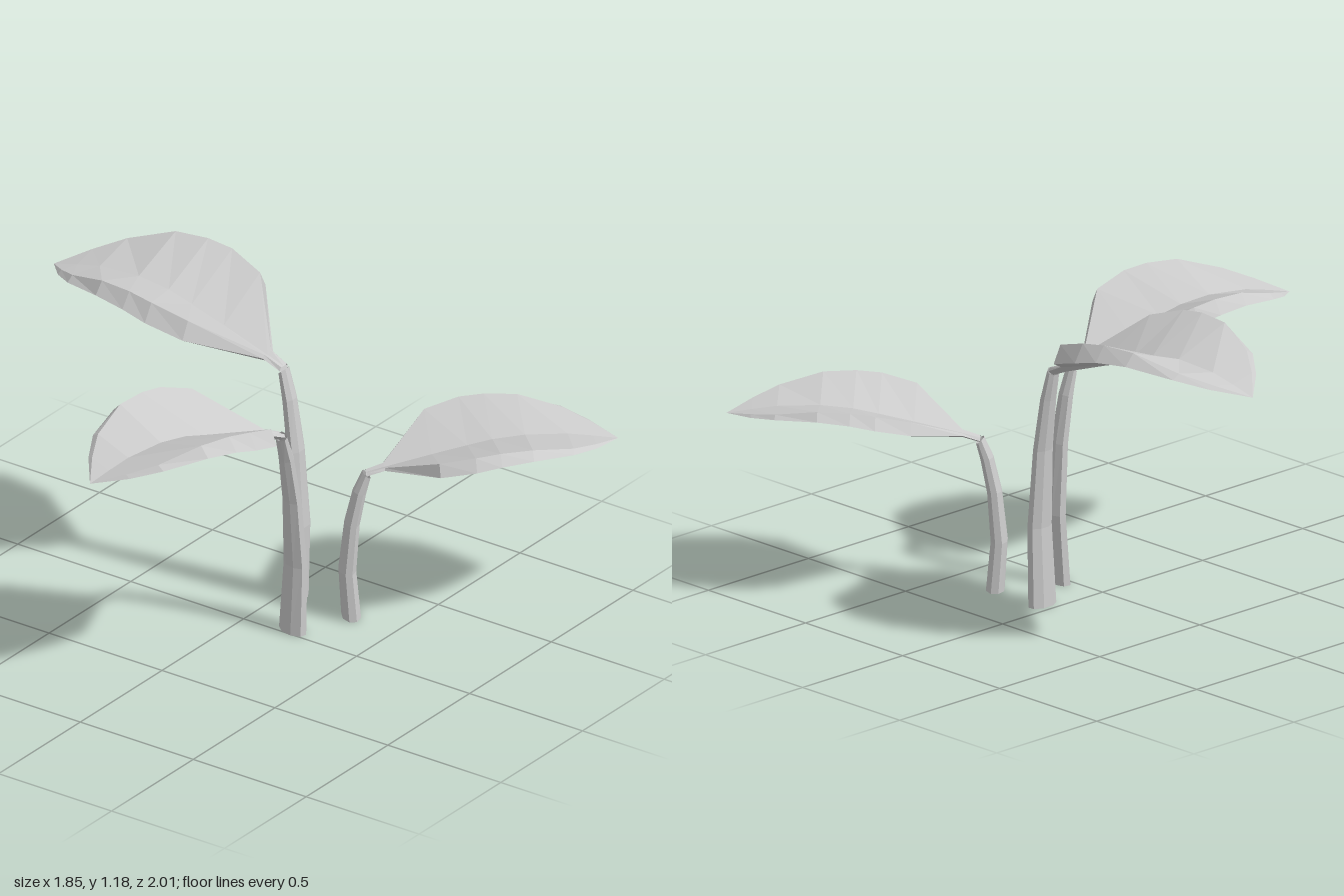
import * as THREE from 'three';

const UP = new THREE.Vector3(0, 1, 0);
const material = new THREE.MeshStandardMaterial({ color: 0xcccccc, flatShading: true, side: THREE.DoubleSide });

// Skins a list of equal-sized point rings into one faceted surface
function loft(rings, name) {
  const n = rings[0].length;
  const index = [];
  for (let i = 0; i < rings.length - 1; i++) {
    for (let j = 0; j < n; j++) {
      const k = (j + 1) % n;
      const a = i * n + j, b = i * n + k, c = a + n, d = b + n;
      index.push(a, b, d, a, d, c);
    }
  }
  const geometry = new THREE.BufferGeometry().setFromPoints(rings.flat());
  geometry.setIndex(index);
  geometry.computeVertexNormals();
  const mesh = new THREE.Mesh(geometry, material);
  mesh.name = name;
  return mesh;
}

// Blade stations: distance, midrib height, crease half-width and height,
// rim half-width and height, midrib thickness
const BLADE = [
  [0.00, 0.015, 0.018, 0.018, 0.026, 0.005, 0.030],
  [0.07, 0.040, 0.022, 0.050, 0.034, 0.040, 0.025],
  [0.26, 0.105, 0.230, 0.220, 0.265, 0.155, 0.022],
  [0.40, 0.150, 0.258, 0.265, 0.300, 0.200, 0.022],
  [0.50, 0.180, 0.252, 0.280, 0.296, 0.225, 0.022],
  [0.63, 0.197, 0.235, 0.278, 0.275, 0.235, 0.022],
  [0.80, 0.188, 0.175, 0.226, 0.205, 0.208, 0.020],
  [0.90, 0.166, 0.098, 0.186, 0.120, 0.175, 0.014],
  [1.00, 0.140, 0.000, 0.140, 0.000, 0.140, 0.000],
];

// Stem stations: height fraction, outward drift, half-width, half-depth, lean
const STEM = [
  [0.00, 0.000, 0.058, 0.033, 0.0],
  [0.33, -0.014, 0.050, 0.030, 0.0],
  [0.66, 0.003, 0.040, 0.026, 0.1],
  [0.88, 0.030, 0.032, 0.023, 0.25],
  [1.00, 0.055, 0.026, 0.018, 0.7],
];
const SIDES = 8;

// One stem with its leaf blade, growing from base (x, z) toward tip (x, z)
function sprout(name, [bx, bz], [tx, tz], height, widthScale, riseScale) {
  const out = new THREE.Vector3(tx - bx, 0, tz - bz);
  const reach = out.length();
  out.normalize();
  const side = out.clone().cross(UP);
  const at = (o, y, s) => new THREE.Vector3(bx, y, bz).addScaledVector(out, o).addScaledVector(side, s);

  const stemRings = STEM.map(([f, o, w, d, lean]) =>
    Array.from({ length: SIDES }, (_, j) => {
      const a = ((j + 0.5) / SIDES) * Math.PI * 2;
      const depth = Math.cos(a) * d * 1.08;
      return at(o + depth * Math.cos(lean), f * height - depth * Math.sin(lean), -Math.sin(a) * w * 1.08);
    }));

  const start = STEM[STEM.length - 1][1];
  const bladeRings = BLADE.map(([t, mid, cw, cy, rw, ry, thick]) => {
    const p = (y, s) => at(start + t * (reach - start), height + y * riseScale, s * widthScale);
    return [p(mid, 0), p(cy, cw), p(ry, rw), p(mid - thick, 0), p(ry, -rw), p(cy, -cw)];
  });

  const group = new THREE.Group();
  group.name = name;
  group.add(loft(stemRings, 'stem'), loft(bladeRings, 'leafBlade'));
  return group;
}

export function createModel() {
  const model = new THREE.Group();
  model.name = 'seedlings';
  model.add(
    sprout('backLeaf', [0.25, 0.053], [0.22, -1.0], 0.9, 1.0, 1.0),
    sprout('rightLeaf', [0.03, 0.195], [-0.92, -0.015], 0.8, 0.93, 0.88),
    sprout('frontLeaf', [0.25, 0.295], [0.91, 1.0], 0.565, 0.95, 0.62),
  );
  return model;
}
